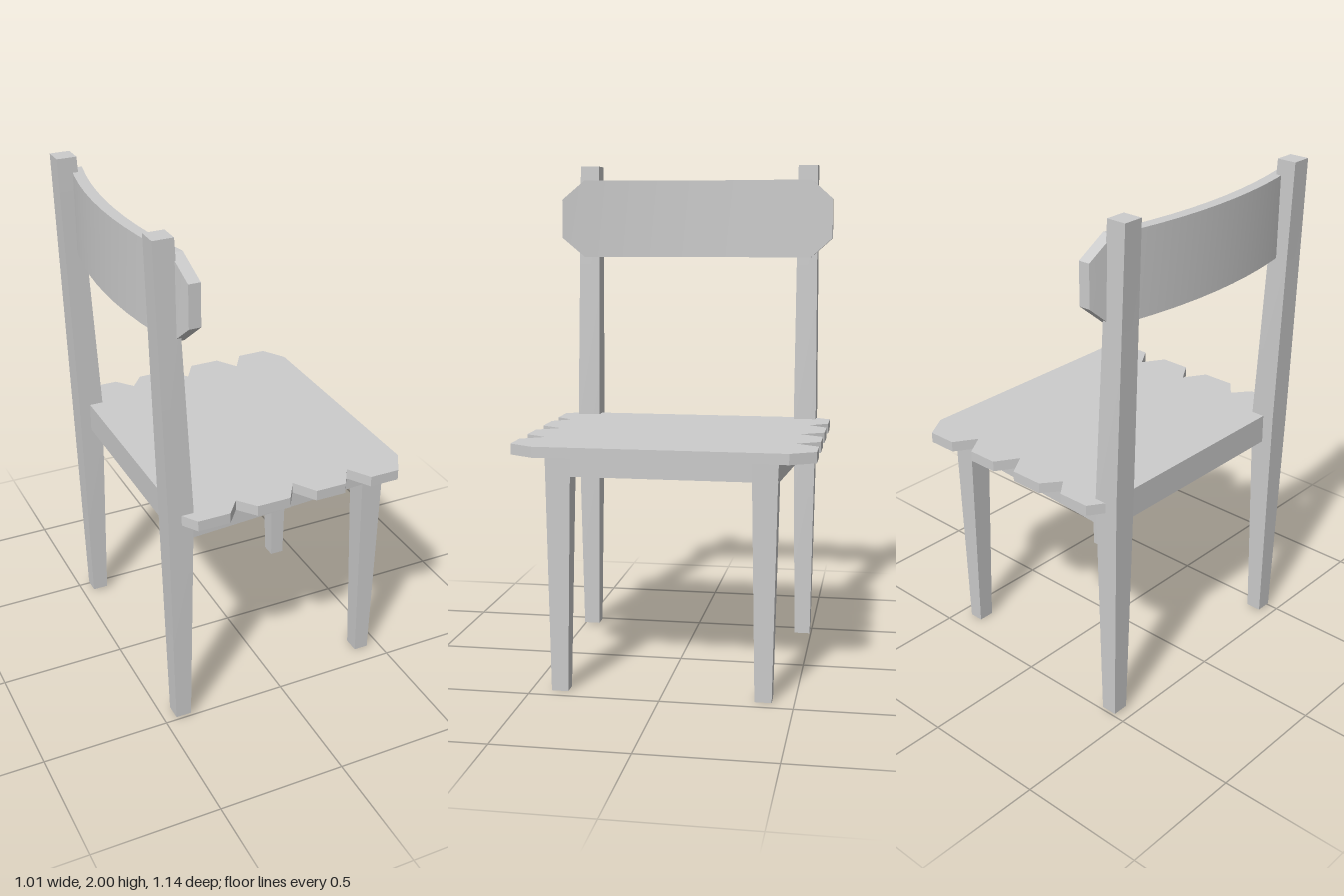
import * as THREE from 'three';
import { toCreasedNormals } from 'three/addons/utils/BufferGeometryUtils.js';

const material = new THREE.MeshStandardMaterial({ color: 0xcccccc });

function part(name, geometry) {
  const mesh = new THREE.Mesh(toCreasedNormals(geometry, 0.35), material);
  mesh.name = name;
  return mesh;
}

// Tapered post through rectangular sections [y, x0, x1, z0, z1], bottom to top
function taperedPost(name, sections) {
  const n = sections.length - 1;
  const geometry = new THREE.BoxGeometry(1, 1, 1, 1, n, 1);
  const p = geometry.attributes.position;
  for (let i = 0; i < p.count; i++) {
    const [y, x0, x1, z0, z1] = sections[Math.round((p.getY(i) + 0.5) * n)];
    p.setXYZ(i, p.getX(i) < 0 ? x0 : x1, y, p.getZ(i) < 0 ? z0 : z1);
  }
  return part(name, geometry);
}

// Horizontal board from an [x, z] outline, lying between two heights
function board(name, outline, y0, y1, hole) {
  const toPoints = (pts) => pts.map(([x, z]) => new THREE.Vector2(x, -z));
  const shape = new THREE.Shape(toPoints(outline));
  if (hole) shape.holes.push(new THREE.Path(toPoints(hole)));
  const geometry = new THREE.ExtrudeGeometry(shape, { depth: y1 - y0, bevelEnabled: false });
  geometry.rotateX(-Math.PI / 2).translate(0, y0, 0);
  return part(name, geometry);
}

// Completes a half outline (z > 0) with its mirror image
const mirrored = (half) => [...half, ...half.map(([x, z]) => [x, -z]).reverse()];

// Curved backrest with clipped corners
function backrest() {
  const half = 6, clipZ = 0.48, endZ = 0.57;
  const geometry = new THREE.BoxGeometry(0.045, 2, 2 * half, 1, 1, 2 * half);
  const p = geometry.attributes.position;
  for (let i = 0; i < p.count; i++) {
    const step = Math.round(p.getZ(i));
    const a = Math.abs(step);
    const z = a === half ? endZ : (a / (half - 1)) * clipZ;
    const halfHeight = a === half ? 0.08 : 0.16;
    p.setXYZ(i, p.getX(i) - 0.467 + 0.245 * z * z, 1.78 + p.getY(i) * halfHeight, Math.sign(step) * z);
  }
  return part('backrest', geometry);
}

export function createModel() {
  const chair = new THREE.Group();
  chair.name = 'chair';

  // Seat with V notches along both sides and clipped corners
  const edge = [[-0.43, 0.5], [-0.385, 0.57]];
  for (const [x, z] of [[-0.203, 0.5], [0.04, 0.482], [0.272, 0.482]]) {
    edge.push([x - 0.055, 0.57], [x, z], [x + 0.055, 0.57]);
  }
  edge.push([0.445, 0.57], [0.503, 0.475]);
  chair.add(board('seat', mirrored(edge), 0.905, 0.946));

  // Apron frame under the seat
  chair.add(board('apron',
    mirrored([[-0.43, 0.5], [0.46, 0.434]]), 0.83, 0.905,
    mirrored([[-0.375, 0.435], [0.405, 0.375]])));

  // Legs, left and right
  for (const s of [1, -1]) {
    const span = (a, b) => (s > 0 ? [a, b] : [-b, -a]);
    chair.add(taperedPost('backPost', [
      [0.01, -0.456, -0.394, ...span(0.432, 0.497)],
      [0.95, -0.476, -0.376, ...span(0.419, 0.511)],
      [2, -0.505, -0.427, ...span(0.423, 0.503)],
    ]));
    const shift = s > 0 ? 0.004 : -0.006;
    chair.add(taperedPost('frontLeg', [
      [0, 0.392, 0.45, ...span(0.35 + s * shift, 0.414 + s * shift)].map((v, i) => (i > 2 ? v + 0.004 : v)),
      [0.905, 0.374, 0.464, ...span(0.337, 0.434)],
    ]));
  }

  chair.add(backrest());
  return chair;
}
